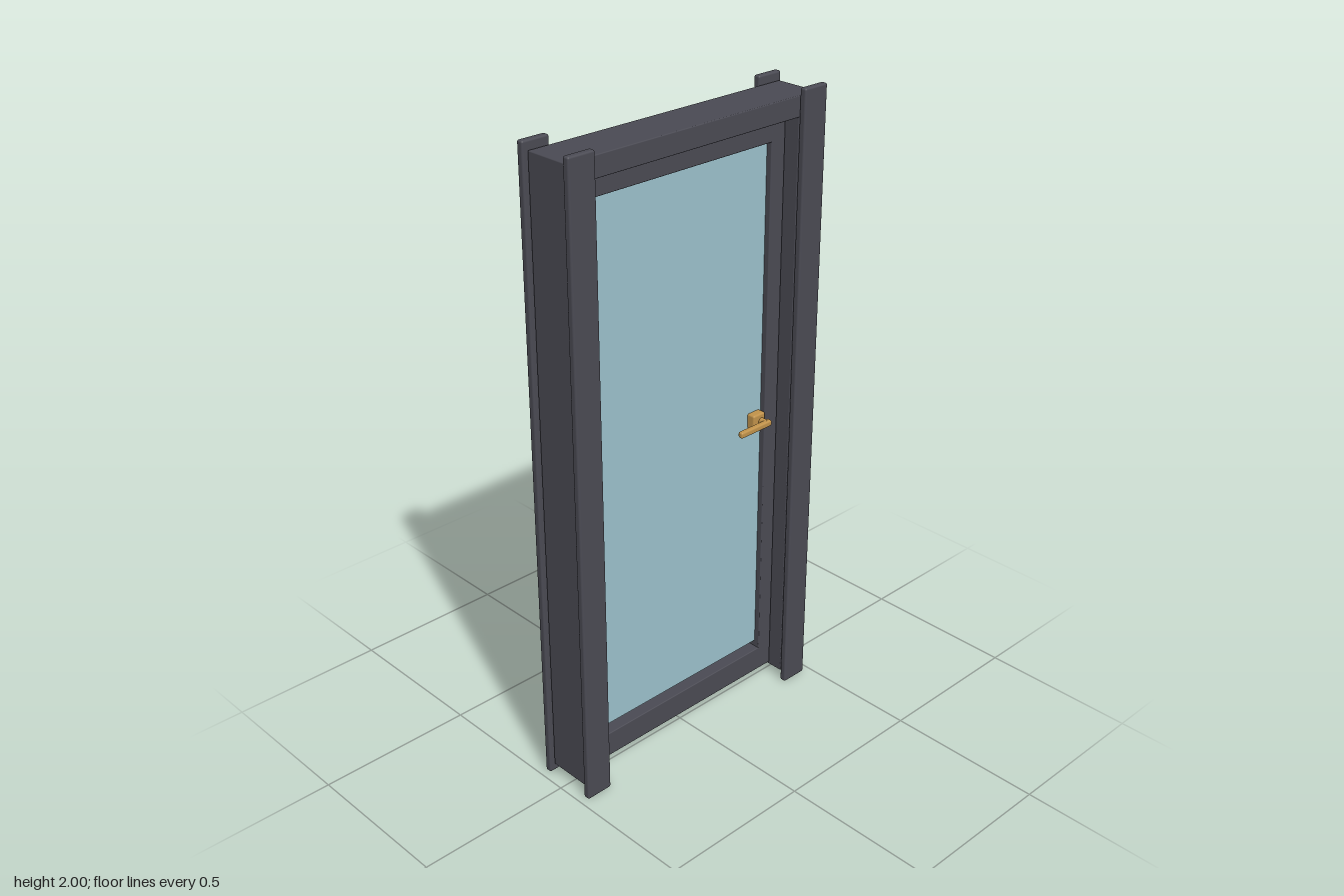
import * as THREE from 'three';
import { RoundedBoxGeometry } from 'three/addons/geometries/RoundedBoxGeometry.js';

const material = (name, color) => {
  const m = new THREE.MeshStandardMaterial({ color });
  m.name = name;
  return m;
};

export function createModel() {
  const frame = material('charcoal frame', 0x4a4a53);
  const glass = material('blue glass', 0x9bc0cb);
  const brass = material('brass', 0xc0924a);
  const door = new THREE.Group();
  door.name = 'door';

  // Softly bevelled block given by its lower and upper corners
  const block = (name, mat, [x0, y0, z0], [x1, y1, z1], r = 0.003, parent = door) => {
    const geo = new RoundedBoxGeometry(x1 - x0, y1 - y0, z1 - z0, 2, r);
    const mesh = new THREE.Mesh(geo, mat);
    mesh.name = name;
    mesh.position.set((x0 + x1) / 2, (y0 + y1) / 2, (z0 + z1) / 2);
    parent.add(mesh);
    return mesh;
  };

  // Jambs and the casing boards on both faces
  for (const s of [-1, 1]) {
    const side = s > 0 ? 'left' : 'right';
    const span = (a, b) => (s > 0 ? [a, b] : [-b, -a]);
    const [j0, j1] = span(0.391, 0.462);
    block(`${side}Jamb`, frame, [j0, 0.03, -0.073], [j1, 1.975, 0.073]);
    const [c0, c1] = span(0.385, 0.475);
    block(`${side}FrontCasing`, frame, [c0, 0, 0.078], [c1, 2, 0.1], 0.006);
    block(`${side}BackCasing`, frame, [c0, 0, -0.1], [c1, 2, -0.078], 0.006);
  }
  block('header', frame, [-0.462, 1.912, -0.073], [0.462, 1.975, 0.073]);

  // Door leaf: stiles, rails and the pane, which stops short of the bottom rail
  const t = 0.028;
  block('rightStile', frame, [-0.385, 0.045, -t], [-0.33, 1.908, t]);
  block('leftStile', frame, [0.33, 0.045, -t], [0.385, 1.908, t]);
  block('topRail', frame, [-0.335, 1.843, -t], [0.335, 1.908, t]);
  block('bottomRail', frame, [-0.335, 0.045, -t], [0.335, 0.127, t]);
  block('glassPane', glass, [-0.331, 0.148, -0.01], [0.331, 1.844, 0.01], 0.001);

  // Hinges between leaf and jamb
  for (const y of [0.26, 1.0, 1.74]) {
    block('hinge', brass, [-0.393, y - 0.04, -0.042], [-0.384, y + 0.04, 0.042], 0.002);
  }

  // Lever handle on each face
  for (const s of [1, -1]) {
    const handle = new THREE.Group();
    handle.name = s > 0 ? 'frontHandle' : 'backHandle';
    block('rose', brass, [0.273, 0.953, 0.008], [0.323, 1.003, 0.038], 0.006, handle);
    const neck = new THREE.Mesh(new THREE.CylinderGeometry(0.011, 0.011, 0.03, 20), brass);
    neck.name = 'neck';
    neck.rotation.x = Math.PI / 2;
    neck.position.set(0.305, 0.978, 0.048);
    handle.add(neck);
    block('lever', brass, [0.19, 0.968, 0.052], [0.32, 0.988, 0.07], 0.006, handle);
    if (s < 0) {
      // Half turn, then shifted so the lever still points towards the hinges
      handle.children.forEach((c) => { c.position.z *= -1; });
    }
    door.add(handle);
  }

  return door;
}
